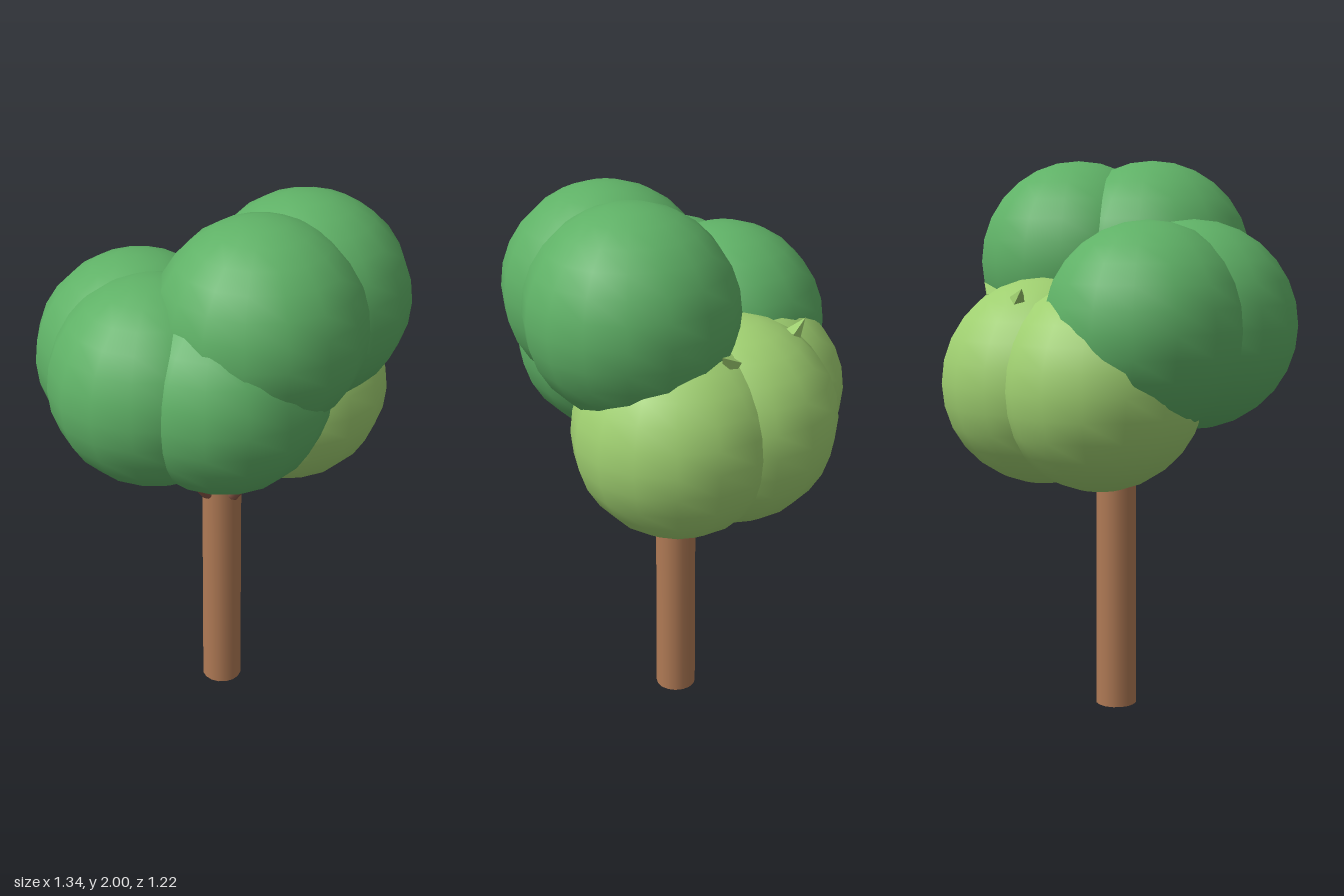
import * as THREE from 'three';

const UP = new THREE.Vector3(0, 1, 0);

function material(name, color) {
  const m = new THREE.MeshStandardMaterial({ color });
  m.name = name;
  return m;
}

export function createModel() {
  const tree = new THREE.Group();
  tree.name = 'tree';
  const bark = material('bark brown', 0xb07a55);
  const branchBark = material('branch brown', 0x875545);
  const darkLeaf = material('dark green', 0x5fb166);
  const lightLeaf = material('light green', 0x9fcf70);

  function add(name, geometry, mat, position) {
    const mesh = new THREE.Mesh(geometry, mat);
    mesh.name = name;
    mesh.position.set(...position);
    tree.add(mesh);
    return mesh;
  }

  // Trunk with a short tapered top
  add('trunk', new THREE.CylinderGeometry(0.073, 0.075, 0.98, 16), bark, [0, 0.49, 0]);
  add('trunkTop', new THREE.CylinderGeometry(0.045, 0.073, 0.12, 16), bark, [0, 1.04, 0]);

  // Branches fan out from the trunk into the leaf clusters: [x, z] heading
  const headings = [[0.06, 1], [-1, 0.1], [1, 0.05], [0.7, -0.7], [0, -1]];
  for (const [x, z] of headings) {
    const start = new THREE.Vector3(x * 0.07, 0.87, z * 0.07);
    const end = new THREE.Vector3(x * 0.32, 1.2, z * 0.32);
    const direction = end.clone().sub(start);
    const branch = add('branch', new THREE.CapsuleGeometry(0.024, direction.length(), 4, 8),
      branchBark, start.add(end).multiplyScalar(0.5).toArray());
    branch.quaternion.setFromUnitVectors(UP, direction.normalize());
  }

  // Leaf clusters, made of overlapping balls in three tiers
  const ball = new THREE.SphereGeometry(0.368, 16, 14);
  const clusters = [
    ['topFoliage', darkLeaf, 1.635, [[-0.01, 0.24], [0.25, 0.145]]],
    ['middleFoliage', darkLeaf, 1.425, [[-0.14, 0.21], [-0.3, 0.03], [-0.23, -0.17]]],
    ['lowerFoliage', lightLeaf, 1.22, [[0.3, -0.01], [0.18, -0.2], [-0.08, -0.24]]],
  ];
  for (const [name, mat, y, centres] of clusters) {
    for (const [x, z] of centres) add(name, ball, mat, [x, y, z]);
  }

  // Small leaf tips poking out of the lower cluster's seams
  for (const [x, z, dx, dz] of [[0.13, -0.42, -0.5, -0.5], [0.44, -0.17, 0.6, 0.3]]) {
    const tip = add('leafTip', new THREE.ConeGeometry(0.035, 0.09, 4).toNonIndexed(), lightLeaf, [x, 1.535, z]);
    tip.geometry.computeVertexNormals();
    tip.quaternion.setFromUnitVectors(UP, new THREE.Vector3(dx, 0.5, dz).normalize());
  }
  return tree;
}
